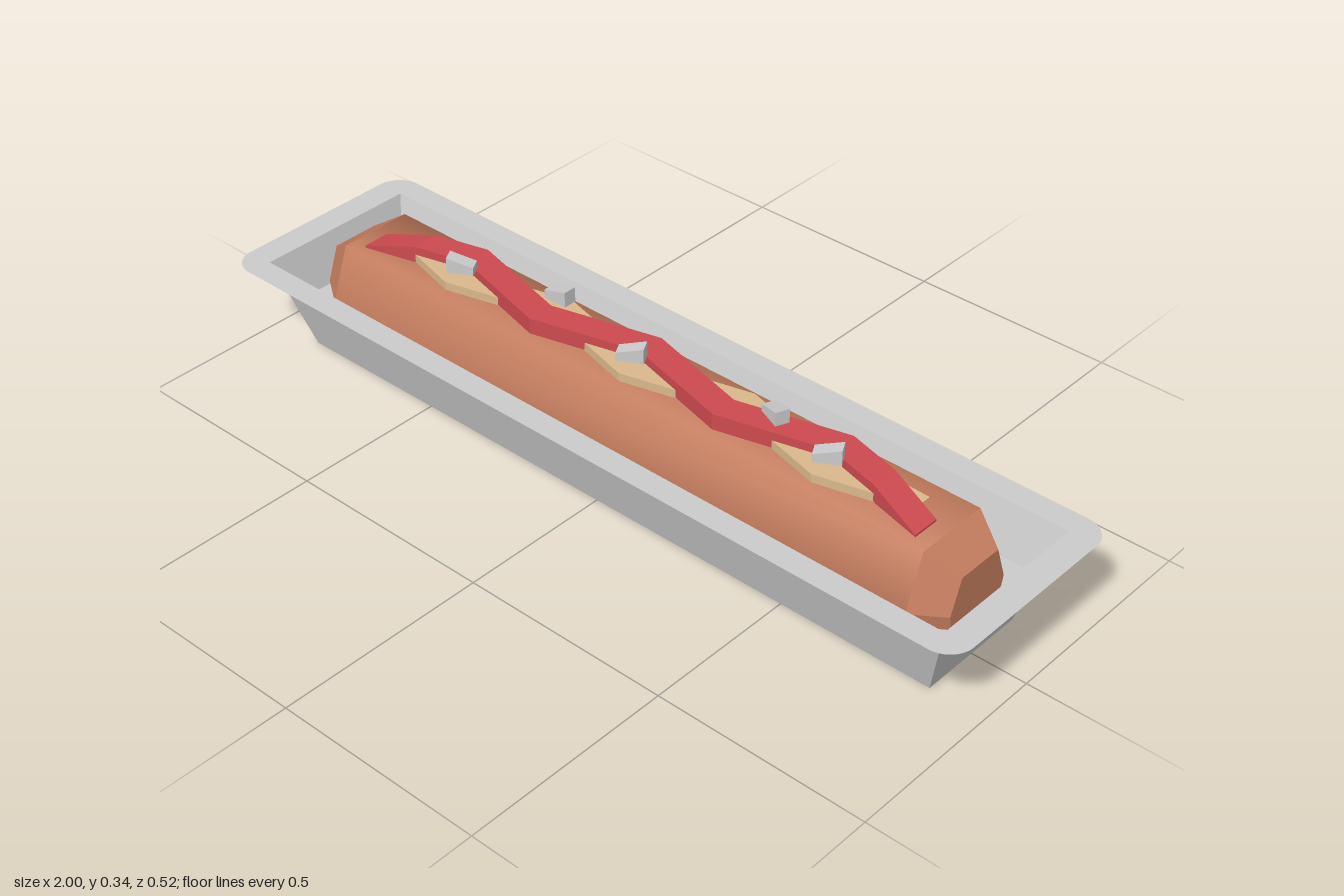
import * as THREE from 'three';

const material = (color, flatShading = true) =>
  new THREE.MeshStandardMaterial({ color, flatShading, side: THREE.DoubleSide });

// Skins a row of equal-sized closed rings; caps close the first and last ring.
function loft(rings, capStart = true, capEnd = true) {
  const n = rings[0].length, index = [];
  const positions = rings.flat(2);
  for (let r = 0; r < rings.length - 1; r++) {
    for (let i = 0; i < n; i++) {
      const j = (i + 1) % n;
      const a = r * n + i, b = a + n, c = (r + 1) * n + j, d = r * n + j;
      index.push(a, b, c, a, c, d);
    }
  }
  const last = (rings.length - 1) * n;
  for (let i = 1; i < n - 1; i++) {
    if (capStart) index.push(0, i, i + 1);
    if (capEnd) index.push(last, last + i + 1, last + i);
  }
  const geometry = new THREE.BufferGeometry();
  geometry.setAttribute('position', new THREE.Float32BufferAttribute(positions, 3));
  geometry.setIndex(index);
  geometry.computeVertexNormals();
  return geometry;
}

function add(parent, name, geometry, mat) {
  const mesh = new THREE.Mesh(geometry, mat);
  mesh.name = name;
  parent.add(mesh);
  return mesh;
}

const rect = (x, y, z) => [[x, y, z], [-x, y, z], [-x, y, -z], [x, y, -z]];

// Flat rim with rounded outer corners around the opening.
function rimGeometry(x, z, r) {
  const shape = new THREE.Shape();
  shape.absarc(x - r, z - r, r, 0, Math.PI / 2);
  shape.absarc(r - x, z - r, r, Math.PI / 2, Math.PI);
  shape.absarc(r - x, r - z, r, Math.PI, Math.PI * 1.5);
  shape.absarc(x - r, r - z, r, Math.PI * 1.5, Math.PI * 2);
  shape.closePath();
  shape.holes.push(new THREE.Path([[0.935, 0.2], [0.935, -0.2], [-0.935, -0.2], [-0.935, 0.2]]
    .map(([a, b]) => new THREE.Vector2(a, b))));
  return new THREE.ShapeGeometry(shape, 6).rotateX(-Math.PI / 2).translate(0, 0.22, 0);
}

// Sausage cross-section, scaled about its axis.
function sausageRing(x, s) {
  const half = [[0.11, 0.025], [0.135, 0.145], [0.09, 0.27]];
  const section = [...half, ...half.map(([z, y]) => [-z, y]).reverse()];
  return section.map(([z, y]) => [x, 0.145 + (y - 0.145) * s, z * s]);
}

// Zigzag sauce strip; side picks which way the first bend goes.
function sauceGeometry(side, top, height) {
  const step = 0.127, rings = [];
  for (let i = -6; i <= 6; i++) {
    const z = i % 2 ? 0 : side * 0.033 * (i % 4 ? 1 : -1);
    const y = top - (Math.abs(i) === 6 ? 0.035 : 0);
    const w = 0.033;
    rings.push([[i * step, y - height, z + w], [i * step, y, z + w],
      [i * step, y, z - w], [i * step, y - height, z - w]]);
  }
  return loft(rings);
}

export function createModel() {
  const model = new THREE.Group();
  const grey = material(0xcccccc);

  // Tray with sloping walls, raised inner floor and rim
  const tray = new THREE.Group();
  tray.name = 'tray';
  model.add(tray);
  add(tray, 'trayWalls', loft([rect(0.87, 0, 0.135), rect(0.935, 0.22, 0.2)], true, false), grey);
  add(tray, 'trayFloor', new THREE.PlaneGeometry(1.805, 0.335).rotateX(-Math.PI / 2).translate(0, 0.11, 0), grey);
  add(tray, 'trayRim', rimGeometry(1, 0.258, 0.06), grey);

  // Sausage: straight body and two chamfered ends
  const sausage = new THREE.Group();
  sausage.name = 'sausage';
  model.add(sausage);
  const meat = material(0xc47d5e, false), meatFlat = material(0xc47d5e);
  add(sausage, 'sausageBody', loft([sausageRing(-0.8, 1), sausageRing(0.8, 1)], false, false), meat);
  add(sausage, 'sausageRightEnd', loft([sausageRing(-0.87, 0.64), sausageRing(-0.8, 1)], true, false), meatFlat);
  add(sausage, 'sausageLeftEnd', loft([sausageRing(0.8, 1), sausageRing(0.87, 0.64)], false, true), meatFlat);

  // Two sauce strips crossing each other
  add(model, 'paleSauce', sauceGeometry(-1, 0.29, 0.03), material(0xdab88c));
  add(model, 'redSauce', sauceGeometry(1, 0.31, 0.038), material(0xcc4a4f));

  // Topping pieces with sloping tops: x, z, turn, which end is tall
  const toppings = new THREE.Group();
  toppings.name = 'toppings';
  model.add(toppings);
  const pieces = [[-0.495, 0.027, 0.5, -1], [-0.26, -0.033, 0, 1], [0, 0.027, 0.5, 1],
    [0.352, -0.012, -0.4, 1], [0.516, 0.025, 0.5, 1]];
  for (const [x, z, turn, tall] of pieces) {
    const geometry = new THREE.BoxGeometry(0.06, 0.036, 0.032);
    const p = geometry.attributes.position;
    for (let i = 0; i < p.count; i++) {
      if (p.getY(i) > 0 && p.getX(i) * tall < 0) p.setY(i, 0.001);
    }
    const piece = add(toppings, 'toppingPiece', geometry, grey);
    piece.position.set(x, 0.325, z);
    piece.rotation.y = turn;
  }
  return model;
}
